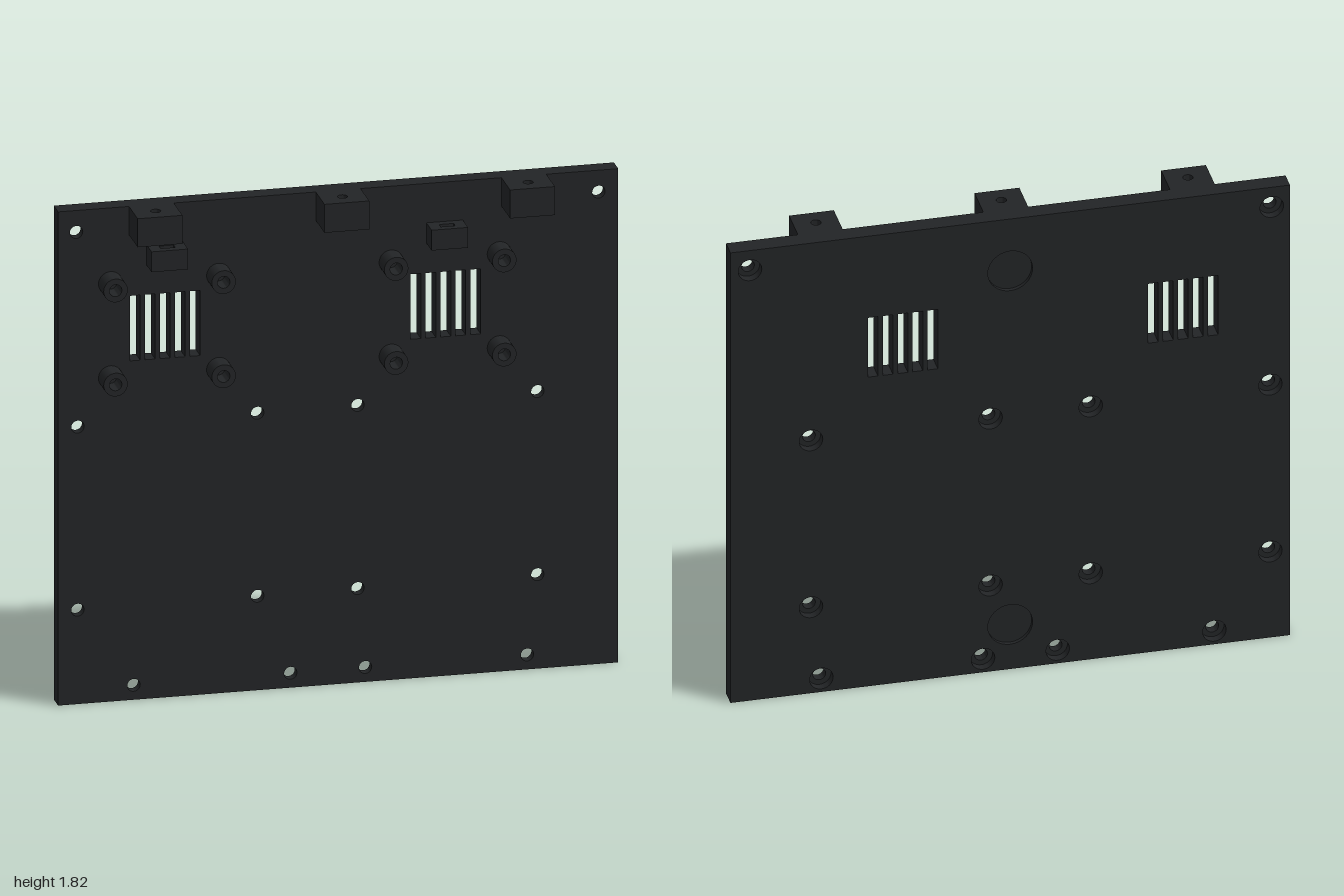
import * as THREE from 'three';
import { toCreasedNormals } from 'three/addons/utils/BufferGeometryUtils.js';

const material = new THREE.MeshStandardMaterial({ color: 0x222426 });
const FACE = -0.033; // front face of the plate

// Outline helpers
function rect(cx, cy, w, h, Type = THREE.Path) {
  const p = new Type();
  p.moveTo(cx - w / 2, cy - h / 2);
  p.lineTo(cx + w / 2, cy - h / 2);
  p.lineTo(cx + w / 2, cy + h / 2);
  p.lineTo(cx - w / 2, cy + h / 2);
  p.closePath();
  return p;
}
function circle(cx, cy, r, Type = THREE.Path) {
  const p = new Type();
  p.absarc(cx, cy, r, 0, Math.PI * 2, false);
  return p;
}
function extrude(shape, holes, depth) {
  shape.holes.push(...holes);
  const geo = new THREE.ExtrudeGeometry(shape, { depth, bevelEnabled: false, curveSegments: 16 });
  return toCreasedNormals(geo, 0.6);
}
function mesh(name, geo, x = 0, y = 0, z = 0) {
  const m = new THREE.Mesh(geo, material);
  m.name = name;
  m.position.set(x, y, z);
  return m;
}

// Screw positions on the plate
const screws = [[-0.935, 1.74], [0.93, 1.74]];
for (const x of [-0.93, -0.288, 0.07, 0.712]) screws.push([x, 1.022], [x, 0.347]);
for (const x of [-0.73, -0.17, 0.097, 0.675]) screws.push([x, 0.054]);

function plate() {
  const group = new THREE.Group();
  group.name = 'plate';
  // Layers from front to back: through holes, counterbores, round recesses
  const layers = [
    { name: 'frontLayer', z0: -0.068, z1: FACE, r: 0.023, recess: false },
    { name: 'middleLayer', z0: -0.085, z1: -0.068, r: 0.042, recess: false },
    { name: 'backLayer', z0: -0.1, z1: -0.085, r: 0.042, recess: true },
  ];
  for (const { name, z0, z1, r, recess } of layers) {
    const holes = screws.map(([x, y]) => circle(x, y, r));
    // Ventilation slots
    for (const cx of [-0.618, 0.384])
      for (let i = -2; i <= 2; i++) holes.push(rect(cx + i * 0.0535, 1.37, 0.036, 0.24));
    if (recess) for (const y of [0.18, 1.61]) holes.push(circle(0, y, 0.08));
    group.add(mesh(name, extrude(rect(0, 0.91, 2, 1.82, THREE.Shape), holes, z1 - z0), 0, 0, z0));
  }
  return group;
}

// Block with a vertical opening through its middle
function drilledBlock(name, x, y, w, h, d, hole) {
  const geo = extrude(rect(0, 0, w, d, THREE.Shape), [hole], h);
  geo.rotateX(-Math.PI / 2);
  return mesh(name, geo, x, y, FACE + d / 2);
}

export function createModel() {
  const model = new THREE.Group();
  model.name = 'mountingPlate';
  model.add(plate());

  // Hollow standoffs around each vent
  const standoff = extrude(circle(0, 0, 0.043, THREE.Shape), [circle(0, 0, 0.022)], 0.08);
  for (const x of [-0.813, -0.427, 0.189, 0.575])
    for (const y of [1.195, 1.542]) model.add(mesh('standoff', standoff, x, y, FACE));

  // Cable tie blocks above the vents
  for (const x of [-0.62, 0.38])
    model.add(drilledBlock('cableTieBlock', x, 1.6, 0.13, 0.075, 0.08, rect(0, 0, 0.052, 0.025)));

  // Screw blocks along the top edge
  for (const x of [-0.667, 0, 0.663])
    model.add(drilledBlock('topScrewBlock', x, 1.715, 0.16, 0.105, 0.133, circle(0, 0, 0.018)));

  return model;
}
